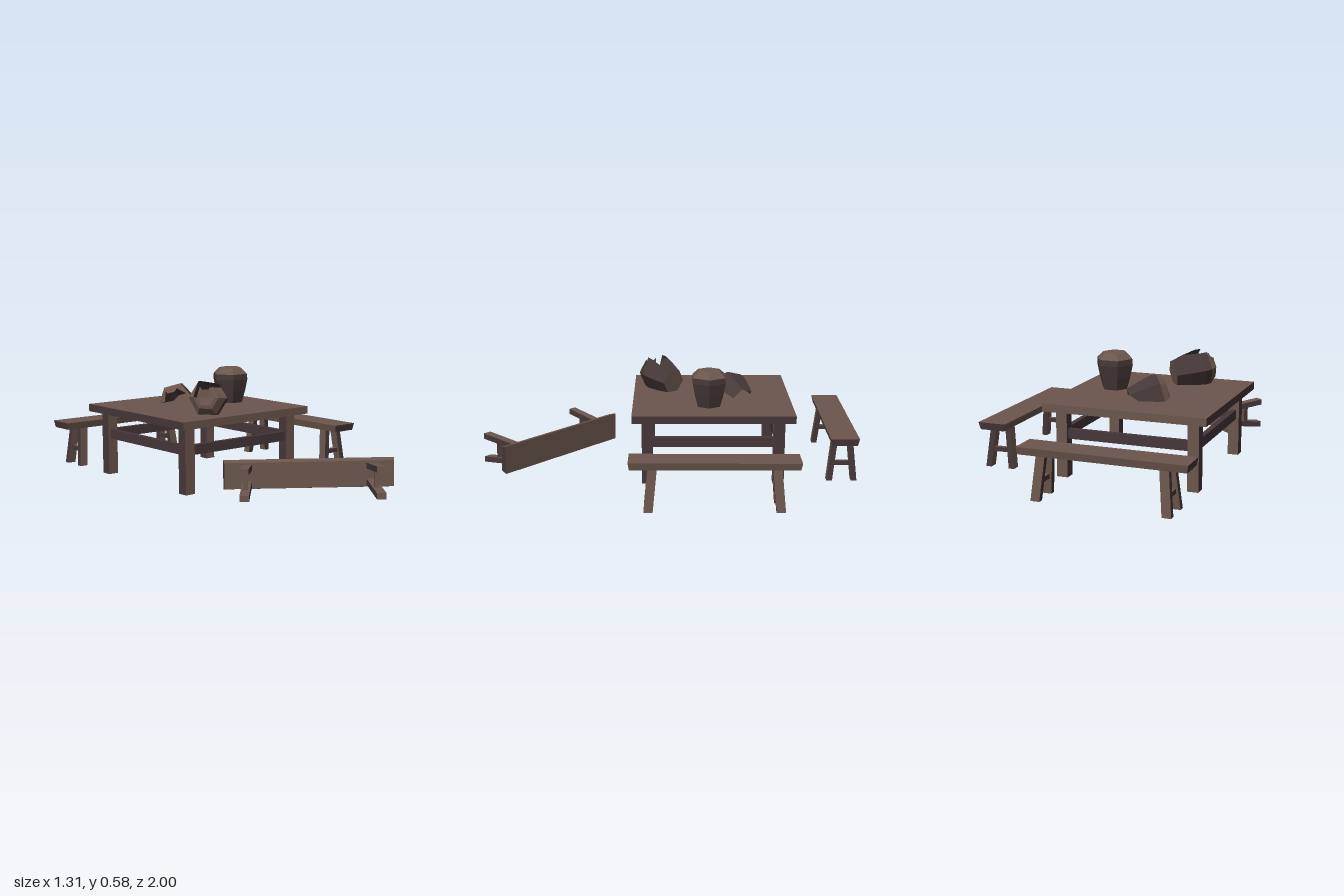
import * as THREE from 'three';

export function createModel() {
  const mat = (name, color) => {
    const m = new THREE.MeshStandardMaterial({ color, flatShading: true, side: THREE.DoubleSide });
    m.name = name;
    return m;
  };
  const wood = mat('wood', 0x6b564d);
  const dark = mat('darkWood', 0x453639);
  const clay = mat('darkClay', 0x463838);
  // timber has dark end faces along its local x
  const timber = [dark, dark, wood, wood, wood, wood];

  const group = (name, parent) => {
    const g = new THREE.Group();
    g.name = name;
    if (parent) parent.add(g);
    return g;
  };

  // box whose vertices may be moved by a rule
  const box = (parent, name, size, pos, material = timber, rule) => {
    const g = new THREE.BoxGeometry(...size);
    if (rule) {
      const p = g.attributes.position, v = new THREE.Vector3();
      for (let i = 0; i < p.count; i++) {
        rule(v.fromBufferAttribute(p, i));
        p.setXYZ(i, v.x, v.y, v.z);
      }
      g.computeVertexNormals();
    }
    const m = new THREE.Mesh(g, material);
    m.name = name;
    m.position.set(...pos);
    parent.add(m);
  };

  const orient = (g, x, y, z) => g.quaternion.setFromRotationMatrix(new THREE.Matrix4().makeBasis(x, y, z));

  const model = group('tableSet');

  // table
  const table = group('table', model);
  table.position.set(-0.158, 0, -0.218);
  table.rotation.y = 0.071;
  box(table, 'tableTop', [0.848, 0.04, 0.848], [0, 0.364, 0]);
  for (const sx of [-1, 1]) {
    for (const sz of [-1, 1]) box(table, 'tableLeg', [0.058, 0.345, 0.058], [sx * 0.344, 0.1725, sz * 0.344]);
    box(table, 'sideRail', [0.028, 0.05, 0.64], [sx * 0.344, 0.223, 0], dark);
    box(table, 'crossRail', [0.64, 0.05, 0.028], [0, 0.223, sx * 0.344], dark);
  }

  // benches, length along local x
  const bench = (name) => {
    const b = group(name, model);
    box(b, 'seat', [0.85, 0.038, 0.149], [0, 0.235, 0], timber, (v) => {
      if (v.y < 0) { v.x *= 0.985; v.z *= 0.88; }
    });
    for (const sx of [-1, 1]) {
      for (const sz of [-1, 1]) {
        box(b, 'benchLeg', [0.046, 0.22, 0.03], [sx * 0.306, 0.11, sz * 0.04], timber, (v) => {
          if (v.y < 0) { v.x += sx * 0.021; v.z += sz * 0.025; }
        });
      }
      box(b, 'legBar', [0.024, 0.024, 0.1], [sx * 0.318, 0.092, 0]);
    }
    return b;
  };
  const back = bench('backBench');
  back.position.set(-0.23, 0, -0.9);
  back.rotation.y = 0.068;
  const side = bench('sideBench');
  side.position.set(0.551, 0, -0.262);
  side.rotation.y = -1.504;
  const fallen = bench('fallenBench');
  fallen.position.set(-0.19, 0.126, 0.795);
  const along = new THREE.Vector3(0.814, 0.015, 0.581).normalize();
  const up = new THREE.Vector3(0.581, 0, -0.814).normalize();
  orient(fallen, along, up, along.clone().cross(up));

  // six-sided jar; keep holds one string per side: 2 whole panel, 1 or 3 half panel, 0 missing
  const rings = [[0.067, 0], [0.086, 0.065], [0.1, 0.13], [0.098, 0.16], [0.066, 0.19], [0.046, 0.195]];
  const at = (k, [r, y]) => [r * Math.cos(k * Math.PI / 3), y, r * Math.sin(k * Math.PI / 3)];
  const jar = (name, keep, caps) => {
    const g = group(name, model);
    const body = [], shoulder = [];
    keep.forEach((row, k) => [...row].forEach((c, i) => {
      const a = at(k, rings[i]), b = at(k + 1, rings[i]);
      const d = at(k, rings[i + 1]), e = at(k + 1, rings[i + 1]);
      const out = i < 3 ? body : shoulder;
      if (c === '2') out.push(...a, ...d, ...e, ...a, ...e, ...b);
      if (c === '1') out.push(...a, ...d, ...b);
      if (c === '3') out.push(...b, ...d, ...e);
    }));
    if (caps) {
      for (let k = 0; k < 6; k++) {
        shoulder.push(...at(k, rings[0]), ...at(k + 1, rings[0]), 0, 0, 0);
        shoulder.push(...at(k + 1, rings[5]), ...at(k, rings[5]), 0, 0.19, 0);
      }
    }
    for (const [part, pts, m] of [['jarBody', body, clay], ['jarShoulderAndEnds', shoulder, wood]]) {
      const geo = new THREE.BufferGeometry();
      geo.setAttribute('position', new THREE.Float32BufferAttribute(pts, 3));
      geo.computeVertexNormals();
      const mesh = new THREE.Mesh(geo, m);
      mesh.name = part;
      g.add(mesh);
    }
    return g;
  };
  // lays a jar on its side with its mouth along the given direction, then rolls it
  const lay = (g, pos, dir, roll) => {
    const y = new THREE.Vector3(...dir).normalize();
    const x = y.clone().cross(new THREE.Vector3(0, 1, 0)).normalize();
    orient(g, x, y, x.clone().cross(y));
    g.rotateY(roll);
    g.position.set(...pos);
  };

  const whole = '22222';
  const upright = jar('uprightJar', Array(6).fill(whole), true);
  upright.position.set(0.06, 0.385, -0.213);
  upright.rotation.y = 0.07;

  const broken = jar('brokenJar', ['22213', '21000', '22132', whole, whole, whole], true);
  lay(broken, [-0.185, 0.445, -0.01], [-0.74, 0.16, 0.66], 0);
  broken.scale.y = 1.15;

  // curved piece of a jar lying with its outer face up
  const shard = jar('jarShard', ['32221', whole, '22210'], false);
  lay(shard, [-0.115, 0.368, -0.392], [-0.8, 0.24, 0.52], 0.3);

  return model;
}
